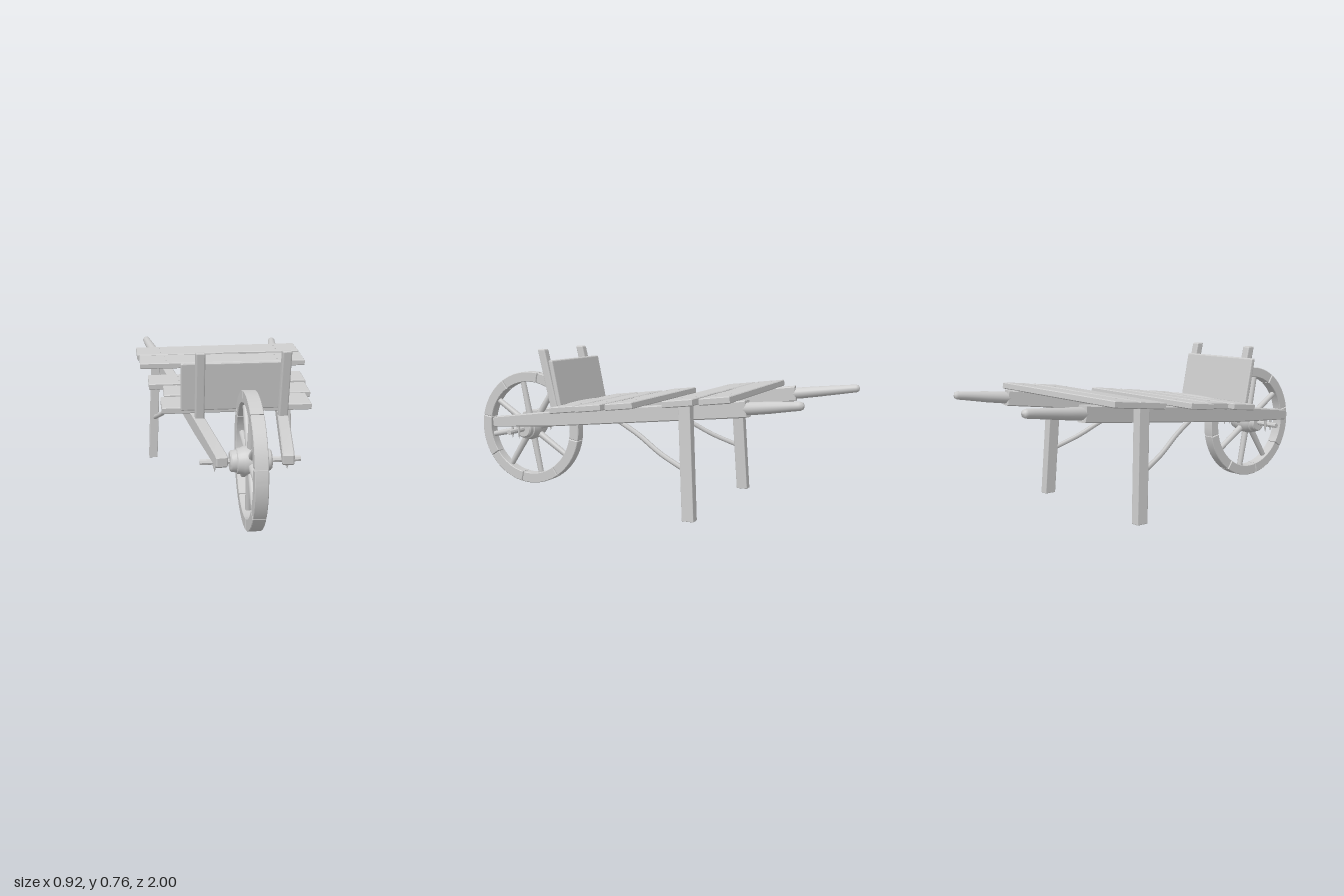
import * as THREE from 'three';
import { RoundedBoxGeometry } from 'three/addons/geometries/RoundedBoxGeometry.js';
import { toCreasedNormals } from 'three/addons/utils/BufferGeometryUtils.js';

const V = (x, y, z) => new THREE.Vector3(x, y, z);
const wood = new THREE.MeshStandardMaterial({ color: 0xcccccc });
wood.name = 'weathered wood';

function add(parent, name, geometry) {
  const mesh = new THREE.Mesh(geometry, wood);
  mesh.name = name;
  parent.add(mesh);
  return mesh;
}

// Upright post sheared so its foot is at a and its head at b, cut level at both ends
function leaning(a, b, w, d, bevel) {
  const h = b.y - a.y;
  const g = new RoundedBoxGeometry(w, h, d, 2, bevel);
  const p = g.attributes.position;
  for (let i = 0; i < p.count; i++) {
    const t = p.getY(i) / h + 0.5;
    p.setXYZ(i, p.getX(i) + a.x + (b.x - a.x) * t, a.y + h * t, p.getZ(i) + a.z + (b.z - a.z) * t);
  }
  g.computeVertexNormals();
  return g;
}

// Extrusion with a small bevel whose total depth is d, centred in z
function slab(shape, d, bevel) {
  const g = new THREE.ExtrudeGeometry(shape, {
    depth: d - 2 * bevel, bevelEnabled: true, bevelThickness: bevel,
    bevelSize: bevel, bevelOffset: -bevel, bevelSegments: 1, curveSegments: 10,
  });
  return toCreasedNormals(g.translate(0, 0, -(d - 2 * bevel) / 2), 0.5);
}

// The frame rises towards the handles
const SLOPE = 0.115;
const railY = z => 0.355 + SLOPE * (0.84 - z);
const railX = z => 0.14 + 0.137 * (0.835 - z);

function createWheel() {
  const wheel = new THREE.Group();
  wheel.name = 'wheel';
  const step = Math.PI / 4;
  for (let i = 0; i < 8; i++) {
    const a = 0.21 + i * step;
    // Rim section, with a hairline joint at each end
    const s = new THREE.Shape();
    const half = step / 2 - 0.006;
    s.absarc(0, 0, 0.306, a - half, a + half, false);
    s.absarc(0, 0, 0.252, a + half, a - half, true);
    s.closePath();
    add(wheel, 'rimSection', slab(s, 0.058, 0.003));
    // Spoke
    const spoke = new THREE.CylinderGeometry(0.015, 0.018, 0.22, 10);
    spoke.translate(0, 0.155, 0).rotateZ(a - Math.PI / 2);
    add(wheel, 'spoke', spoke);
  }
  // Stepped hub
  const half = [[0.065, 0.0], [0.064, 0.03], [0.058, 0.045], [0.056, 0.06], [0.05, 0.064], [0.047, 0.085], [0.04, 0.092], [0, 0.092]];
  const profile = [...half.slice(1).reverse().map(([r, y]) => [r, -y]), ...half];
  const hub = new THREE.LatheGeometry(profile.map(([r, y]) => new THREE.Vector2(r, y)), 24);
  add(wheel, 'hub', toCreasedNormals(hub.rotateX(Math.PI / 2), 0.6));
  // Axle
  add(wheel, 'axle', toCreasedNormals(new THREE.CylinderGeometry(0.013, 0.013, 0.444, 8).rotateX(Math.PI / 2), 0.5));
  wheel.rotation.y = Math.PI / 2;
  wheel.position.set(0, 0.315, 0.695);
  return wheel;
}

// Plank with a few splinters; chips are [x, width, depth, edge], edge 1 = back, -1 = front
function createPlank(x0, x1, z0, z1, yaw, chips) {
  const w = x1 - x0, d = (z1 - z0), zc = (z0 + z1) / 2, xc = (x0 + x1) / 2;
  const edge = side => {
    const pts = [[-w / 2, side * d / 2]];
    for (const [x, cw, cd, e] of chips) {
      if (e !== side) continue;
      const c = x - xc;
      pts.push([c - cw / 2, side * d / 2], [c - cw / 5, side * (d / 2 - cd)],
        [c + cw / 4, side * (d / 2 - cd * 0.6)], [c + cw / 2, side * d / 2]);
    }
    pts.push([w / 2, side * d / 2]);
    return pts;
  };
  const outline = [...edge(-1), ...edge(1).reverse()].map(p => new THREE.Vector2(...p));
  const group = new THREE.Group();
  group.name = 'plank';
  add(group, 'board', slab(new THREE.Shape(outline), 0.032, 0.004).rotateX(-Math.PI / 2));
  // Nail heads over the rails
  for (const s of [-1, 1]) for (const dz of [-0.035, 0.035]) {
    add(group, 'nail', new THREE.CylinderGeometry(0.004, 0.004, 0.004, 8)
      .translate(s * railX(zc) - xc, 0.016, dz));
  }
  group.position.set(xc, railY(zc) + 0.053, zc);
  group.rotation.set(SLOPE, yaw, 0);
  return group;
}

function createSide(s) {
  const side = new THREE.Group();
  side.name = s > 0 ? 'leftSide' : 'rightSide';
  const zEnd = s > 0 ? -0.655 : -0.685, zTip = s > 0 ? -0.915 : -1.0;
  const point = z => V(s * railX(z), railY(z), z);

  // Rail, slimmer towards the wheel
  const a = point(zEnd), b = point(0.835), len = a.distanceTo(b);
  const rail = new THREE.Group();
  rail.name = 'rail';
  const shape = new THREE.Shape([[0, -0.038], [len - 0.4, -0.038], [len - 0.01, -0.027], [len, -0.018],
    [len, 0.02], [len - 0.02, 0.028], [len - 0.4, 0.038], [0, 0.038]].map(p => new THREE.Vector2(...p)));
  add(rail, 'railBeam', slab(shape, 0.052, 0.005).rotateY(-Math.PI / 2));
  // Rounded handle on the rail's end
  const hl = point(zTip).distanceTo(a);
  const grip = [[0.026, -0.02], [0.029, 0.01], [0.027, 0.1], [0.021, hl - 0.05], [0.02, hl - 0.018], [0.015, hl - 0.005], [0, hl]];
  const handle = new THREE.LatheGeometry(grip.map(p => new THREE.Vector2(...p)), 16);
  add(rail, 'handle', handle.rotateX(-Math.PI / 2));
  rail.position.copy(a);
  rail.lookAt(b);
  side.add(rail);

  // Leg and its curved brace
  add(side, 'leg', leaning(V(s * 0.383, 0, -0.397), V(s * 0.36, 0.54, -0.365), 0.046, 0.058, 0.003));
  const bend = new THREE.CatmullRomCurve3([V(s * 0.37, 0.237, -0.36), V(s * 0.335, 0.292, -0.23),
    V(s * 0.295, 0.365, -0.1), V(s * 0.25, 0.425, 0.04)]);
  add(side, 'brace', new THREE.TubeGeometry(bend, 10, 0.012, 6, false));

  // Front post
  add(side, 'post', leaning(V(s * 0.195, 0.43, 0.415), V(s * 0.195, 0.757, 0.494), 0.043, 0.042, 0.007));

  // Pegs holding the axle under the rail
  for (const dz of [-0.02, 0.02]) {
    add(side, 'axlePeg', new THREE.CylinderGeometry(0.006, 0.006, 0.06, 6).translate(s * 0.159, 0.325, 0.695 + dz));
    add(side, 'pegPoint', new THREE.ConeGeometry(0.006, 0.022, 6).rotateX(Math.PI).translate(s * 0.159, 0.285, 0.695 + dz));
  }
  return side;
}

export function createModel() {
  const model = new THREE.Group();
  model.name = 'wheelbarrow';
  model.add(createWheel(), createSide(1), createSide(-1));

  // Deck planks, from the handles forward
  const planks = [
    [-0.458, 0.455, -0.6, -0.457, 0.02, [[0.1, 0.25, 0.008, -1]]],
    [-0.445, 0.455, -0.438, -0.29, -0.005, [[-0.05, 0.14, 0.006, 1], [0.17, 0.2, 0.012, 1]]],
    [-0.411, 0.387, -0.107, 0.037, 0, [[-0.2, 0.12, 0.006, -1], [0.15, 0.2, 0.01, -1]]],
    [-0.343, 0.374, 0.063, 0.204, -0.012, [[-0.2, 0.15, 0.01, 1], [0.18, 0.2, 0.008, -1]]],
    [-0.364, 0.344, 0.222, 0.37, 0, [[-0.15, 0.15, 0.008, 1], [0.1, 0.18, 0.012, 1]]],
  ];
  for (const p of planks) model.add(createPlank(...p));

  // Raised splinter along the front plank's edge
  const splinter = add(model, 'splinter', new THREE.SphereGeometry(1, 20, 10));
  splinter.scale.set(0.21, 0.013, 0.037);
  splinter.position.set(0.065, railY(0.338) + 0.063, 0.338);
  splinter.rotation.x = SLOPE;

  // Headboard leaning against the posts
  add(model, 'headboard', leaning(V(-0.035, 0.47, 0.396), V(-0.035, 0.7, 0.444), 0.49, 0.024, 0.006));
  return model;
}
